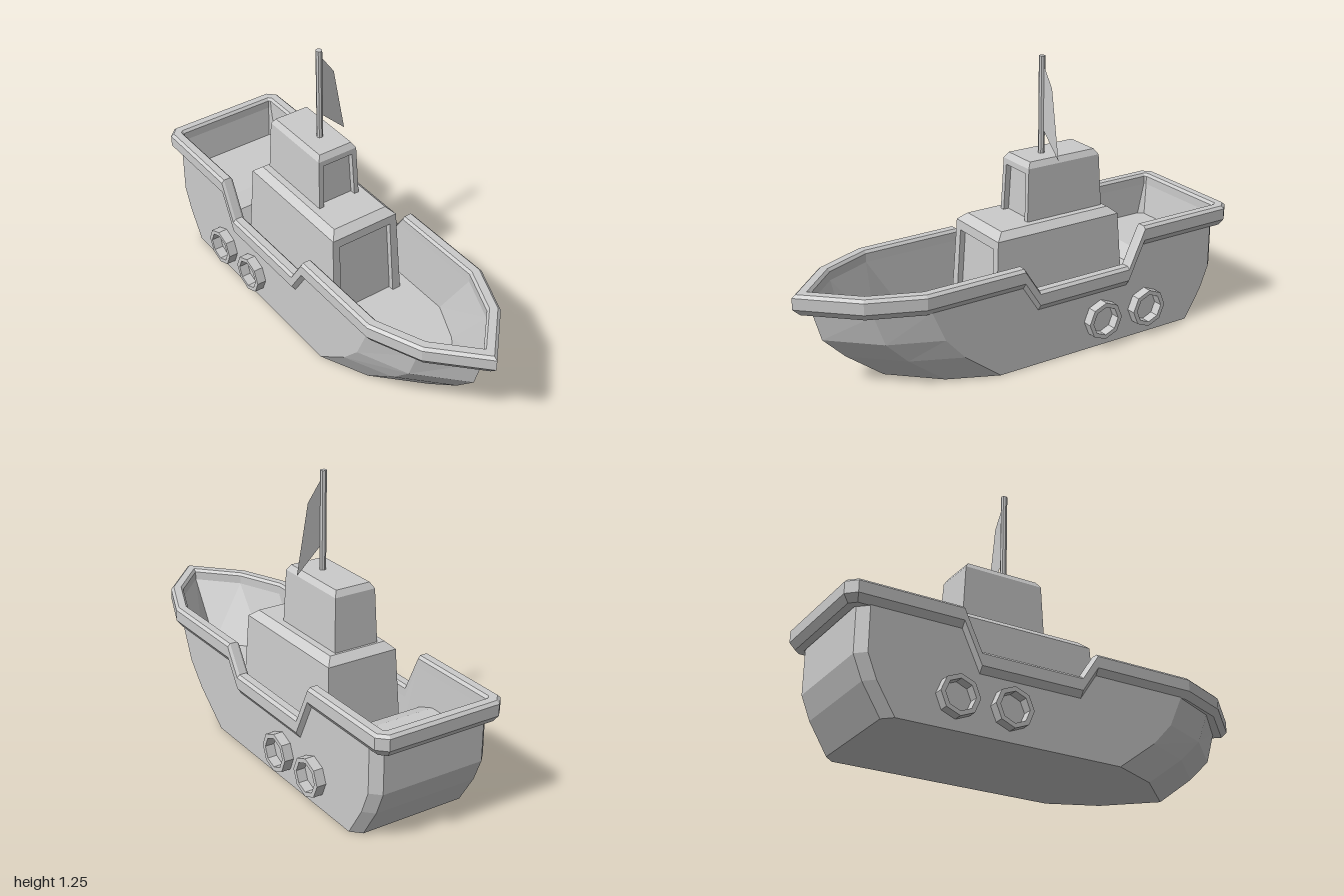
import * as THREE from 'three';

const material = new THREE.MeshStandardMaterial({ color: 0xcccccc, flatShading: true, side: THREE.DoubleSide });

function addMesh(parent, name, geometry) {
  const mesh = new THREE.Mesh(geometry, material);
  mesh.name = name;
  parent.add(mesh);
  return mesh;
}

function fromTriangles(points) {
  const g = new THREE.BufferGeometry();
  g.setAttribute('position', new THREE.Float32BufferAttribute(points.flat(), 3));
  g.computeVertexNormals();
  return g;
}

// Skin between successive rows of points
function loft(rows, closed = true) {
  const tris = [];
  for (let r = 0; r < rows.length - 1; r++) {
    const a = rows[r], b = rows[r + 1], n = a.length;
    for (let i = 0; i < (closed ? n : n - 1); i++) {
      const j = (i + 1) % n;
      tris.push(a[i], a[j], b[j], a[i], b[j], b[i]);
    }
  }
  return fromTriangles(tris);
}

// Flat cap over a ring, facing up or down
function cap(ring, up = true) {
  const tris = [], centre = [0, ring[0][1], -0.1];
  ring.forEach((p, i) => {
    const q = ring[(i + 1) % ring.length];
    tris.push(centre, ...(up ? [p, q] : [q, p]));
  });
  return fromTriangles(tris);
}

// Complete a half outline (bow to stern on +x) with its mirror image
function mirrorRing(half) {
  return [...half, ...half.slice(1).reverse().map(([x, y, z]) => [-x, y, z])];
}

// Heights of the rail top at the nine points of the half outline
const sheer = [0.455, 0.455, 0.455, 0.455, 0.34, 0.34, 0.51, 0.51, 0.51];
const stepZ = [0.1, 0.025, -0.435, -0.515];

// Half outline: bow tip, two bow corners, four rail steps, chamfered stern
function outline(yOf, tip, [x1, z1], [x2, z2], stern) {
  const xz = [[0, tip], [x1, z1], [x2, z2], ...stepZ.map(z => [x2, z]),
    [x2, stern + 0.04], [x2 - 0.04, stern]];
  return mirrorRing(xz.map(([x, z], i) => [x, yOf(i), z]));
}

// Move a ring inward by d with mitred corners, and up by dy
function inset(ring, d, dy) {
  const n = ring.length;
  const normal = (p, q) => {
    const dx = q[0] - p[0], dz = q[2] - p[2], l = Math.hypot(dx, dz);
    return [dz / l, -dx / l];
  };
  return ring.map((p, i) => {
    const a = normal(ring[(i + n - 1) % n], p), b = normal(p, ring[(i + 1) % n]);
    const k = d / (1 + a[0] * b[0] + a[1] * b[1]);
    return [p[0] + (a[0] + b[0]) * k, p[1] + dy, p[2] + (a[1] + b[1]) * k];
  });
}

// Tapered cabin block with chamfered roof and a recessed front opening.
// Each level is { y, w: half width, f: front z, b: back z }
function cabin(name, base, shoulder, roof, door) {
  const group = new THREE.Group();
  group.name = name;
  const ring = ({ y, w, f, b }) => [[w, y, f], [w, y, b], [-w, y, b], [-w, y, f]];
  addMesh(group, name + 'Walls', loft([ring(base), ring(shoulder)], false));
  addMesh(group, name + 'RoofEdge', loft([ring(shoulder), ring(roof)]));
  addMesh(group, name + 'Roof', cap(ring(roof)));

  const t = (door.top - base.y) / (shoulder.y - base.y);
  const w = THREE.MathUtils.lerp(base.w, shoulder.w, t);
  const f = THREE.MathUtils.lerp(base.f, shoulder.f, t);
  const row = (y, wide, d, z) => [[-wide, y, z], [-d, y, z], [-d, y, z - door.depth],
    [d, y, z - door.depth], [d, y, z], [wide, y, z]];
  const low = row(base.y, base.w, door.w0, base.f), high = row(door.top, w, door.w1, f);
  addMesh(group, name + 'Front', loft([low, high], false));
  addMesh(group, name + 'Lintel', loft([[high[0], high[5]],
    [[-shoulder.w, shoulder.y, shoulder.f], [shoulder.w, shoulder.y, shoulder.f]]], false));
  addMesh(group, name + 'OpeningTop', loft([[high[2], high[3]], [high[1], high[4]]], false));
  return group;
}

export function createModel() {
  const boat = new THREE.Group();
  boat.name = 'boat';

  // Outer hull
  const hull = [
    outline(() => 0, 0.61, [0.18, 0.42], [0.275, 0.21], -0.82),
    outline(() => 0.13, 0.78, [0.18, 0.59], [0.275, 0.38], -0.9),
    outline(() => 0.23, 0.88, [0.18, 0.69], [0.275, 0.47], -0.94),
    outline(i => sheer[i] - 0.088, 0.92, [0.18, 0.74], [0.275, 0.53], -0.94),
  ];
  addMesh(boat, 'hull', loft(hull));
  addMesh(boat, 'hullBottom', cap(hull[0], false));

  // Stepped rail, its chamfered section swept round the outline
  const edge = outline(i => sheer[i], 1, [0.2, 0.79], [0.295, 0.56], -1);
  const section = [[0.055, -0.092], [0.022, -0.092], [0, -0.062], [0, -0.012],
    [0.012, 0], [0.045, 0], [0.055, -0.012], [0.055, -0.092]];
  addMesh(boat, 'rail', loft(section.map(([d, dy]) => inset(edge, d, dy))));

  // Inner walls and main deck
  const deckRing = outline(() => 0.14, 0.75, [0.155, 0.56], [0.235, 0.38], -0.9);
  addMesh(boat, 'innerWall', loft([inset(edge, 0.055, -0.05), deckRing]));
  addMesh(boat, 'deck', cap(deckRing));

  // Raised stern deck with its sloping front
  const sternSteps = [[-0.46, 0.14], [-0.54, 0.29], [-0.62, 0.32], [-0.925, 0.32]];
  addMesh(boat, 'sternDeck', loft(sternSteps.map(([z, y]) => [[-0.24, y, z], [0.24, y, z]]), false));

  // Cabin and wheelhouse
  boat.add(cabin('cabin',
    { y: 0.14, w: 0.18, f: 0.17, b: -0.49 },
    { y: 0.54, w: 0.163, f: 0.148, b: -0.465 },
    { y: 0.57, w: 0.132, f: 0.112, b: -0.43 },
    { w0: 0.14, w1: 0.13, top: 0.5, depth: 0.025 }));
  boat.add(cabin('wheelhouse',
    { y: 0.57, w: 0.102, f: -0.037, b: -0.42 },
    { y: 0.8, w: 0.095, f: -0.047, b: -0.407 },
    { y: 0.825, w: 0.08, f: -0.063, b: -0.39 },
    { w0: 0.08, w1: 0.073, top: 0.775, depth: 0.025 }));

  // Mast and flag
  const mast = addMesh(boat, 'mast', new THREE.CylinderGeometry(0.014, 0.014, 0.425, 8));
  mast.position.set(0, 1.0325, -0.175);
  const flagShape = new THREE.Shape([[0.01, 1.21], [0.01, 0.93], [0.125, 0.82], [0.073, 1.12]]
    .map(([x, y]) => new THREE.Vector2(x, y)));
  addMesh(boat, 'flag', new THREE.ShapeGeometry(flagShape)).position.z = -0.175;

  // Octagonal porthole rings on both sides
  const ringProfile = [[0.065, 0.26], [0.085, 0.26], [0.085, 0.317], [0.065, 0.317], [0.065, 0.26]]
    .map(([r, h]) => new THREE.Vector2(r, h));
  for (const side of [1, -1]) {
    for (const z of [-0.3, -0.535]) {
      const ring = addMesh(boat, side > 0 ? 'leftPorthole' : 'rightPorthole',
        new THREE.LatheGeometry(ringProfile, 8));
      ring.rotation.z = -side * Math.PI / 2;
      ring.position.set(0, 0.13, z);
    }
  }
  return boat;
}
